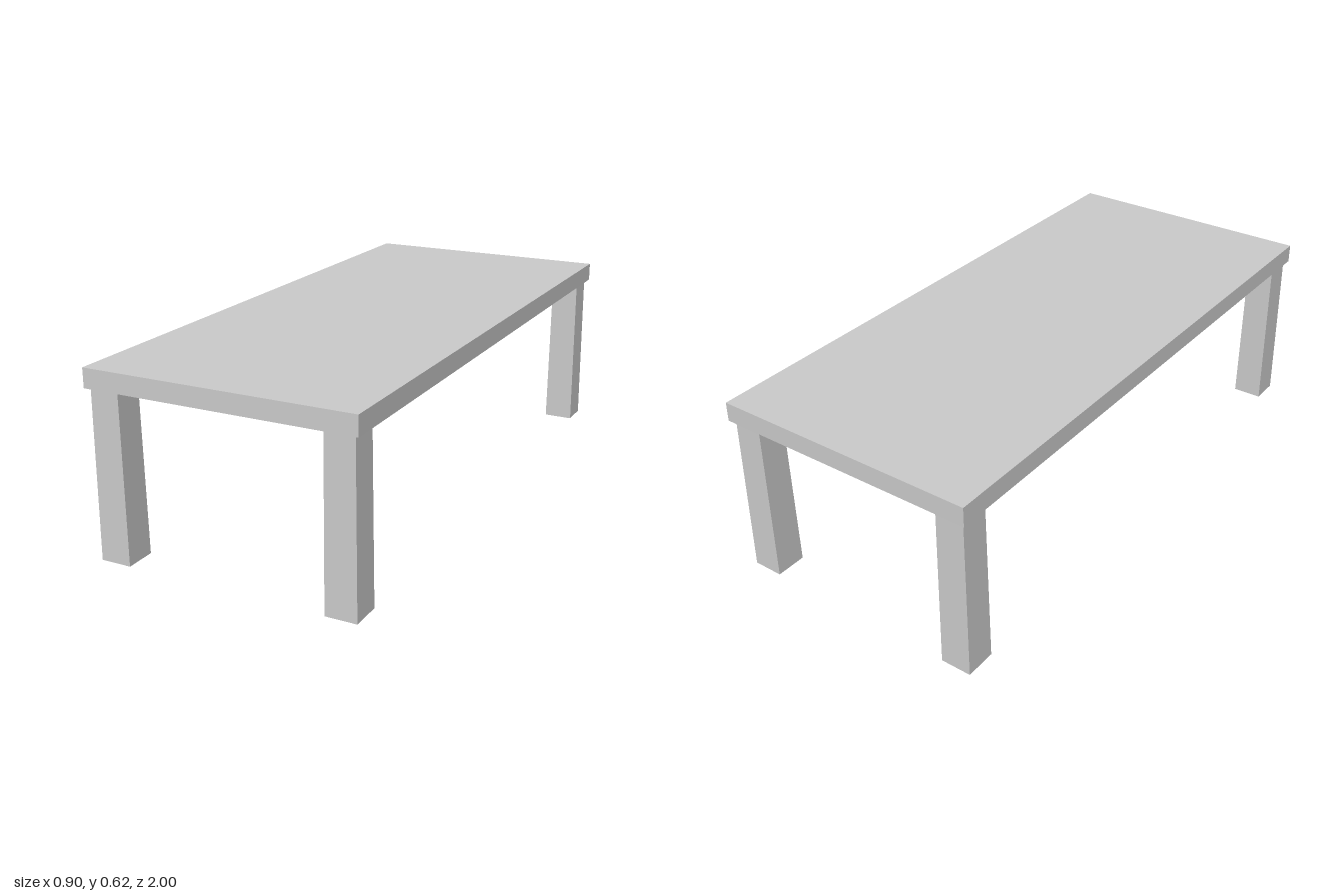
import * as THREE from 'three';

const HEIGHT = 0.62, UNDERSIDE = 0.556;
const material = new THREE.MeshStandardMaterial({ color: 0xcccccc, flatShading: true });

// Square leg, slightly narrower at the top than at the foot
function taperedLeg(foot, head, height) {
  const geometry = new THREE.BoxGeometry(foot, height, foot);
  geometry.translate(0, height / 2, 0);
  const p = geometry.attributes.position;
  for (let i = 0; i < p.count; i++) {
    if (p.getY(i) > height / 2) {
      p.setX(i, p.getX(i) * head / foot);
      p.setZ(i, p.getZ(i) * head / foot);
    }
  }
  geometry.computeVertexNormals();
  return geometry;
}

export function createModel() {
  const table = new THREE.Group();
  table.name = 'table';

  // Rectangular slab top
  const thickness = HEIGHT - UNDERSIDE;
  const top = new THREE.Mesh(new THREE.BoxGeometry(0.905, thickness, 2), material);
  top.name = 'tableTop';
  top.position.y = UNDERSIDE + thickness / 2;
  table.add(top);

  // One leg near each corner
  const legGeometry = taperedLeg(0.104, 0.097, UNDERSIDE);
  for (const [end, z] of [['front', 0.939], ['back', -0.936]]) {
    for (const [side, x] of [['Left', 0.389], ['Right', -0.389]]) {
      const leg = new THREE.Mesh(legGeometry, material);
      leg.name = `${end}${side}Leg`;
      leg.position.set(x, 0, z);
      table.add(leg);
    }
  }
  return table;
}
